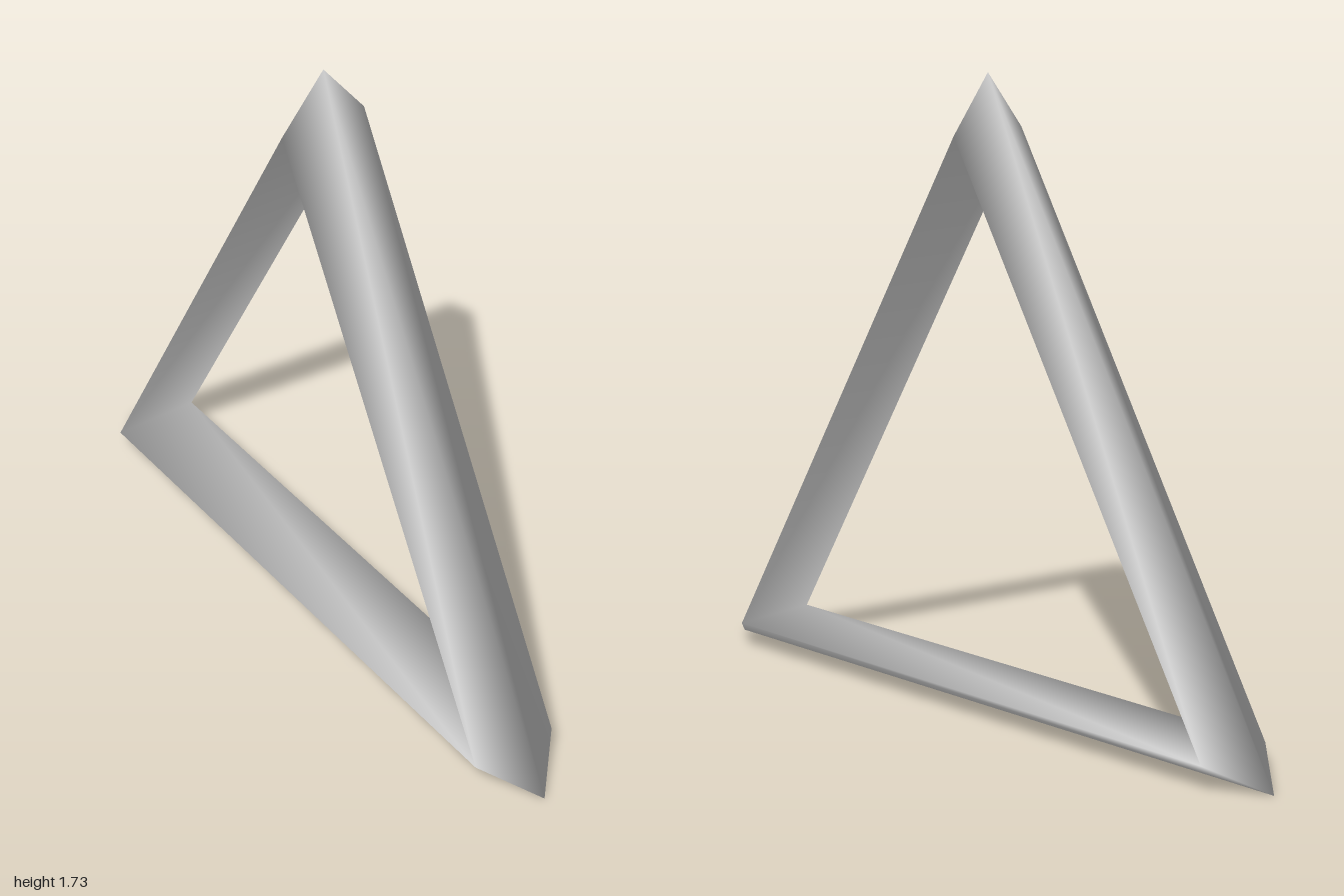
import * as THREE from 'three';

// Triangular ring: a three-sided section swept round three mitred corners
export function createModel() {
  const outer = 2 / Math.sqrt(3), inner = 1.0, halfDepth = 0.127;
  const centreY = outer / 2;
  // Section as [radius, z]: outer ridge, front edge, back edge
  const section = [[outer, 0], [inner, halfDepth], [inner, -halfDepth]];
  const n = section.length, corners = 3;

  const positions = [], indices = [];
  for (let i = 0; i < corners; i++) {
    // Bottom left, top, bottom right
    const angle = THREE.MathUtils.degToRad(210 - 120 * i);
    for (const [r, z] of section) {
      positions.push(r * Math.cos(angle), centreY + r * Math.sin(angle), z);
    }
    // Join this corner to the next one
    const here = i * n, next = ((i + 1) % corners) * n;
    for (let j = 0; j < n; j++) {
      const k = (j + 1) % n;
      indices.push(here + j, next + k, next + j);
      indices.push(here + j, here + k, next + k);
    }
  }

  const geometry = new THREE.BufferGeometry();
  geometry.setAttribute('position', new THREE.Float32BufferAttribute(positions, 3));
  geometry.setIndex(indices);
  geometry.computeVertexNormals(); // shared corners give the soft shading

  const frame = new THREE.Mesh(geometry, new THREE.MeshStandardMaterial({ color: 0xcccccc }));
  frame.name = 'triangularFrame';

  const group = new THREE.Group();
  group.name = 'triangleRing';
  group.add(frame);
  return group;
}
